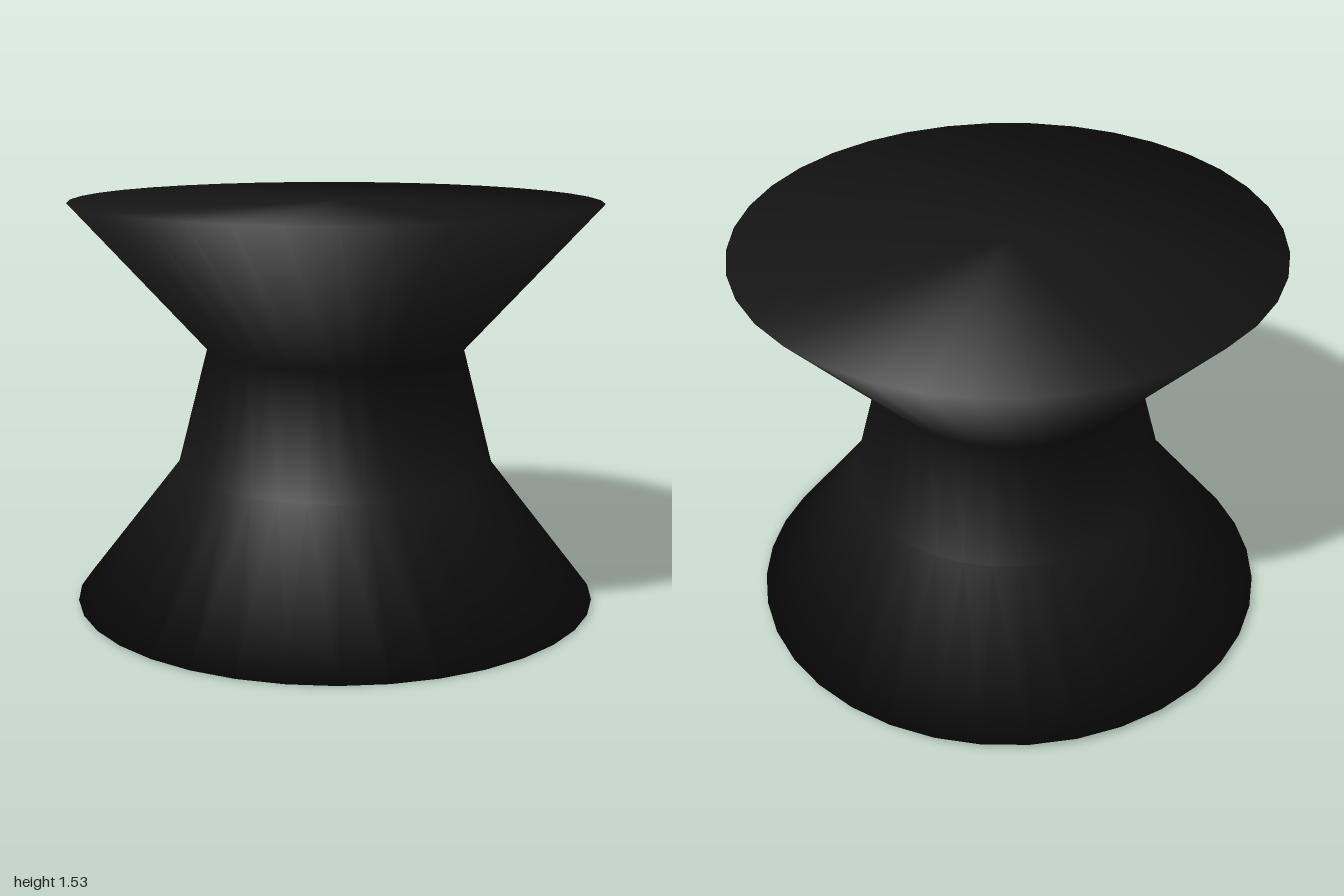
import * as THREE from 'three';

export function createModel() {
  const model = new THREE.Group();
  model.name = 'stool';

  // closed profile: base, flared foot, waist, flared seat, flat top
  const profile = [
    [0, 0], [0.99, 0], [0.6, 0.5], [0.484, 0.948], [0.985, 1.5], [0, 1.5],
  ].map(([r, y]) => new THREE.Vector2(r, y));

  // smooth shading runs over the rims as well
  const geometry = new THREE.LatheGeometry(
    profile, 36, THREE.MathUtils.degToRad(3), Math.PI * 2);
  geometry.translate(0, -0.75, 0);

  const body = new THREE.Mesh(
    geometry, new THREE.MeshStandardMaterial({ color: 0x151515 }));
  body.name = 'stoolBody';

  // the whole stool leans very slightly
  body.rotation.set(0.0105, 0, -0.0095);
  body.position.set(-0.002, 0.764, 0);
  model.add(body);
  return model;
}
